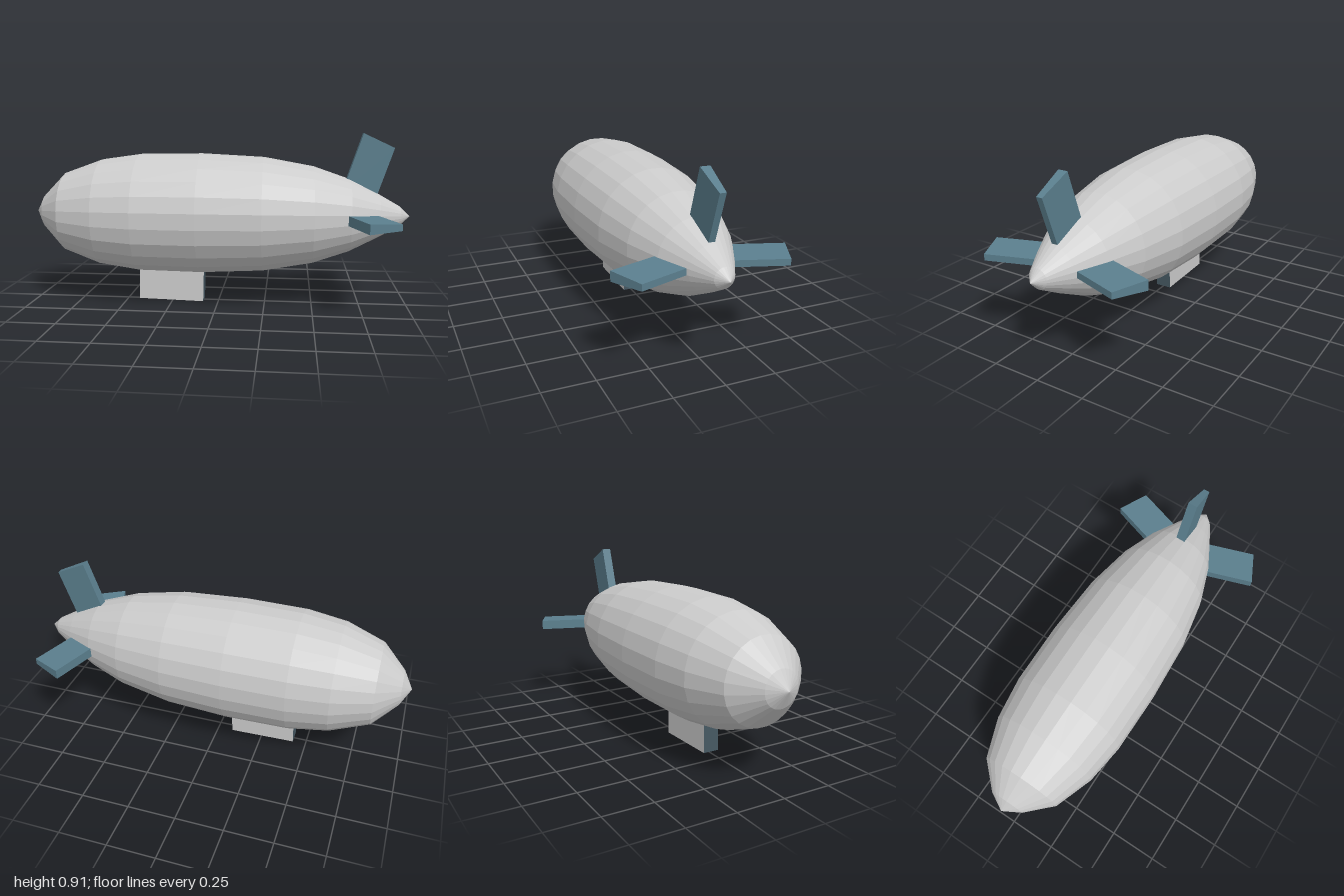
import * as THREE from 'three';

const AXIS_Y = 0.48;
const mat = (color) => new THREE.MeshStandardMaterial({ color, flatShading: true });

function add(parent, name, geometry, material) {
  const mesh = new THREE.Mesh(geometry, material);
  mesh.name = name;
  parent.add(mesh);
  return mesh;
}

// Swept fin with a thick leading edge and a thinner trailing edge
function finGeometry() {
  const geo = new THREE.BoxGeometry(2, 2, 2);
  const p = geo.attributes.position;
  for (let i = 0; i < p.count; i++) {
    const trailing = p.getX(i) > 0;
    const tip = p.getY(i) > 0;
    const x = (tip ? 0.75 : 0.65) + (trailing ? 0.16 : 0);
    const y = (tip ? 0.43 : 0.13) - (trailing ? 0.075 : 0);
    p.setXYZ(i, x, y, p.getZ(i) * (trailing ? 0.016 : 0.025));
  }
  geo.computeVertexNormals();
  return geo;
}

export function createModel() {
  const model = new THREE.Group();
  model.name = 'airship';
  const grey = mat(0xcccccc);
  const blue = mat(0x5b7f8e);
  const dark = mat(0x465862);

  // Hull: faceted body of revolution along x, [position, radius]
  const profile = [
    [-1, 0], [-0.95, 0.09], [-0.83, 0.212], [-0.63, 0.285], [-0.42, 0.315], [-0.09, 0.32],
    [0.24, 0.303], [0.5, 0.256], [0.69, 0.19], [0.84, 0.113], [0.95, 0.05], [1, 0],
  ].map(([x, r]) => new THREE.Vector2(r, x));
  const hull = add(model, 'hull', new THREE.LatheGeometry(profile, 24, Math.PI / 24), grey);
  hull.rotation.z = -Math.PI / 2;
  hull.position.y = AXIS_Y;

  // Tail fins: one upright, one on each side
  const fin = finGeometry();
  [['topFin', 0], ['frontFin', Math.PI / 2], ['backFin', -Math.PI / 2]].forEach(([name, angle]) => {
    const mesh = add(model, name, fin, blue);
    mesh.rotation.x = angle;
    mesh.position.y = AXIS_Y;
  });

  // Gondola: slightly tilted cabin with dark end faces
  const gondola = add(model, 'gondola', new THREE.BoxGeometry(0.35, 0.22, 0.084),
    [dark, dark, grey, grey, grey, grey]);
  gondola.position.set(-0.253, 0.115, 0);
  gondola.rotation.z = -0.025;

  return model;
}
